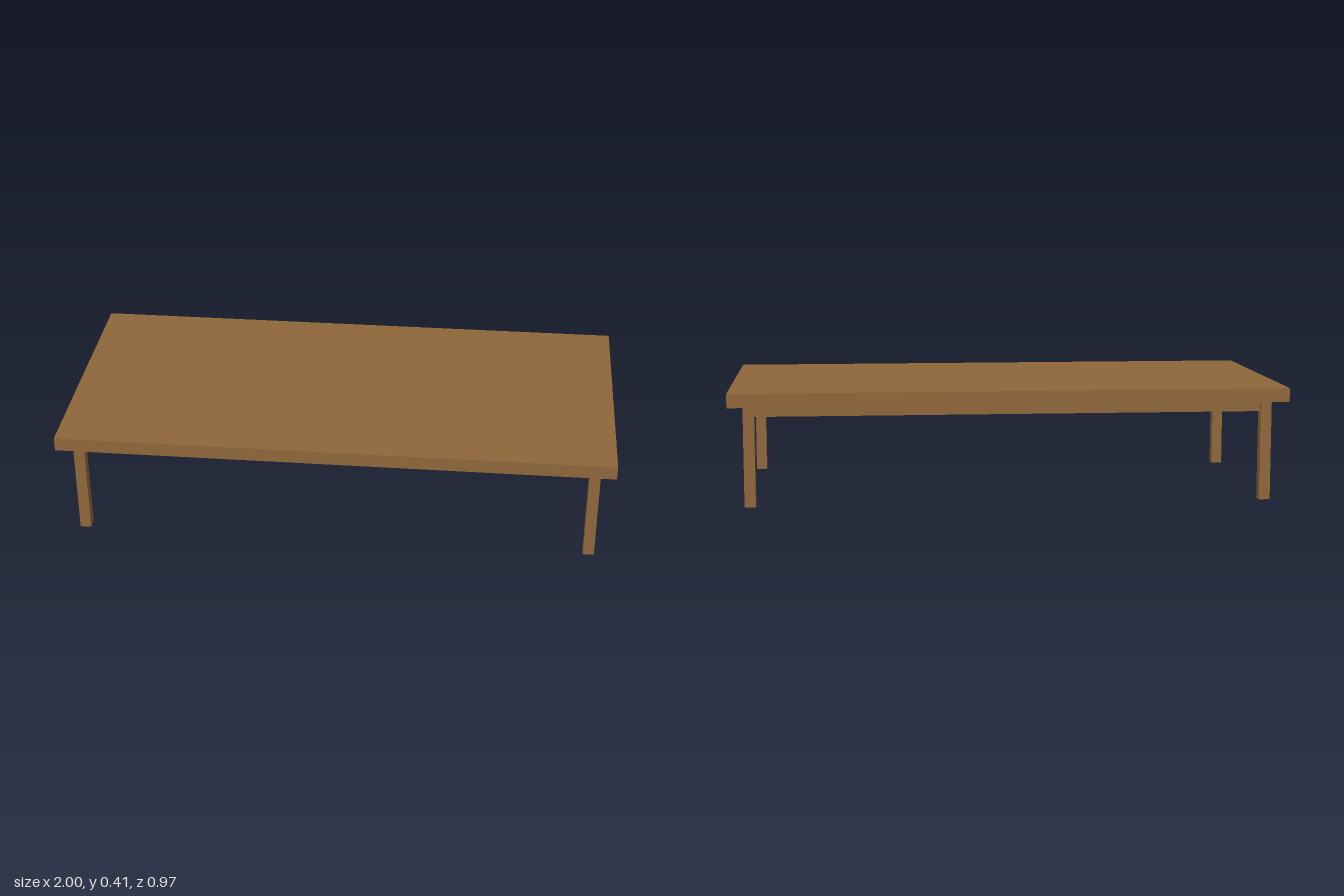
import * as THREE from 'three';

export function createModel() {
  const model = new THREE.Group();
  model.name = 'lowTable';
  const wood = new THREE.MeshStandardMaterial({ color: 0x8f673b });
  wood.name = 'brown wood';

  const addBox = (name, size, position) => {
    const mesh = new THREE.Mesh(new THREE.BoxGeometry(...size), wood);
    mesh.name = name;
    mesh.position.set(...position);
    model.add(mesh);
  };

  const legX = 0.928, legZ = 0.412, legSize = 0.04;
  const legHeight = 0.363, topThickness = 0.05;
  const railHeight = 0.04, railThickness = 0.02;
  const railY = legHeight - railHeight / 2;

  // Table top
  addBox('tableTop', [2, topThickness, 0.968], [0, legHeight + topThickness / 2, 0]);

  // Square legs
  for (const [xName, sx] of [['Left', 1], ['Right', -1]]) {
    for (const [zName, sz] of [['front', 1], ['back', -1]]) {
      addBox(`${zName}${xName}Leg`, [legSize, legHeight, legSize], [sx * legX, legHeight / 2, sz * legZ]);
    }
  }

  // Rails running between the legs, centred on them
  for (const [name, s] of [['front', 1], ['back', -1]]) {
    addBox(`${name}Rail`, [2 * legX - legSize, railHeight, railThickness], [0, railY, s * legZ]);
  }
  for (const [name, s] of [['left', 1], ['right', -1]]) {
    addBox(`${name}Rail`, [railThickness, railHeight, 2 * legZ - legSize], [s * legX, railY, 0]);
  }

  return model;
}
